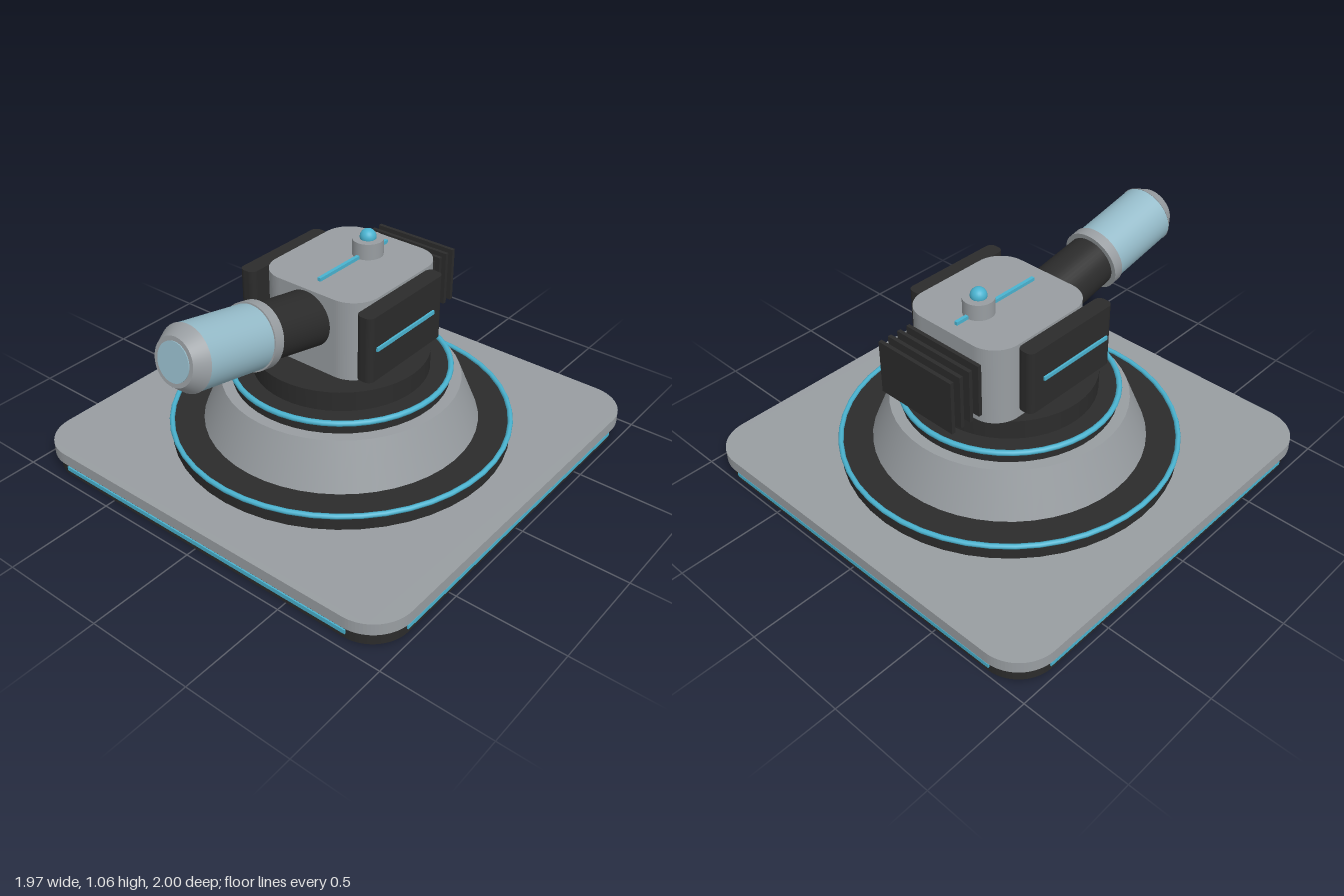
import * as THREE from 'three';

const mat = (name, color) => {
  const m = new THREE.MeshStandardMaterial({ color });
  m.name = name;
  return m;
};

export function createModel() {
  const grey = mat('grey metal', 0x989da1);
  const dark = mat('dark metal', 0x2b2b2b);
  const glow = mat('cyan trim', 0x4ab3d0);
  const glass = mat('pale blue glass', 0x95bbc9);
  const model = new THREE.Group();
  model.name = 'turret';

  const add = (parent, name, geo, material, x = 0, y = 0, z = 0) => {
    const m = new THREE.Mesh(geo, material);
    m.name = name;
    m.position.set(x, y, z);
    parent.add(m);
    return m;
  };

  // Vertical prism with rounded corners in plan, standing on y = 0
  const slab = (w, d, h, r) => {
    const a = w / 2, b = d / 2, s = new THREE.Shape();
    s.absarc(a - r, b - r, r, 0, Math.PI / 2);
    s.absarc(-a + r, b - r, r, Math.PI / 2, Math.PI);
    s.absarc(-a + r, -b + r, r, Math.PI, Math.PI * 1.5);
    s.absarc(a - r, -b + r, r, Math.PI * 1.5, Math.PI * 2);
    s.closePath();
    const g = new THREE.ExtrudeGeometry(s, { depth: h, bevelEnabled: false, curveSegments: 10 });
    return g.rotateX(-Math.PI / 2);
  };
  // Cylinder or cone spanning y0 to y1
  const drum = (r0, r1, y0, y1) =>
    new THREE.CylinderGeometry(r1, r0, y1 - y0, 48).translate(0, (y0 + y1) / 2, 0);
  const ring = (r, tube) => new THREE.TorusGeometry(r, tube, 8, 48).rotateX(Math.PI / 2);

  // Square base with a light strip on each side
  const base = new THREE.Group();
  base.name = 'base';
  base.position.z = -0.015;
  model.add(base);
  add(base, 'baseFoot', slab(1.932, 1.932, 0.07, 0.18), dark);
  add(base, 'basePlate', slab(1.97, 1.97, 0.055, 0.19), grey, 0, 0.07);
  for (let i = 0; i < 4; i++) {
    const side = new THREE.Group();
    side.name = 'baseStripSide';
    side.rotation.y = i * Math.PI / 2;
    add(side, 'baseStrip', new THREE.BoxGeometry(1.6, 0.02, 0.009), glow, 0, 0.035, 0.968);
    base.add(side);
  }

  // Stepped round pedestal
  add(base, 'lowerDisc', drum(0.778, 0.778, 0.125, 0.19), dark);
  add(base, 'lowerRing', ring(0.776, 0.012), glow, 0, 0.193);
  add(base, 'pedestalCone', drum(0.63, 0.543, 0.19, 0.402), grey);
  add(base, 'upperDisc', drum(0.492, 0.492, 0.402, 0.452), dark);
  add(base, 'upperRing', ring(0.493, 0.013), glow, 0, 0.453);
  add(base, 'turntable', drum(0.4, 0.4, 0.452, 0.545), dark);

  // Rounded head
  const head = new THREE.Group();
  head.name = 'head';
  model.add(head);
  add(head, 'headBody', slab(0.56, 0.61, 0.375, 0.13), grey, 0, 0.545, -0.085);
  add(head, 'topStrip', new THREE.BoxGeometry(0.016, 0.016, 0.47), glow, 0, 0.928, -0.1);
  add(head, 'sensorMount', drum(0.07, 0.07, 0.92, 0.995), grey, 0, 0, -0.2);
  add(head, 'sensorDome', new THREE.SphereGeometry(0.037, 24, 16), glow, 0, 1.002, -0.2);

  // Side pods with light strips
  for (const s of [-1, 1]) {
    add(head, 'sidePod', slab(0.08, 0.515, 0.305, 0.03), dark, s * 0.32, 0.603, -0.013);
    add(head, 'podStrip', new THREE.BoxGeometry(0.012, 0.018, 0.4), glow, s * 0.363, 0.755, 0.005);
  }

  // Cooling fins at the rear
  for (let i = 0; i < 4; i++) {
    add(head, 'coolingFin', new THREE.BoxGeometry(0.42, 0.256, 0.018), dark, 0, 0.732, -0.412 - i * 0.0515);
  }

  // Barrel, built along y and tipped forward
  const barrel = new THREE.Group();
  barrel.name = 'barrel';
  barrel.position.set(0, 0.755, 0.1);
  barrel.rotation.x = Math.PI / 2 - 0.2;
  model.add(barrel);
  add(barrel, 'barrelSleeve', drum(0.13, 0.122, 0, 0.44), dark);
  add(barrel, 'barrelCollar', drum(0.145, 0.145, 0.435, 0.485), grey);
  add(barrel, 'barrelTube', drum(0.138, 0.138, 0.485, 0.837), glass);
  add(barrel, 'muzzle', drum(0.14, 0.102, 0.837, 0.897), grey);
  add(barrel, 'muzzleLens', drum(0.083, 0.083, 0.894, 0.901), glass);

  return model;
}
